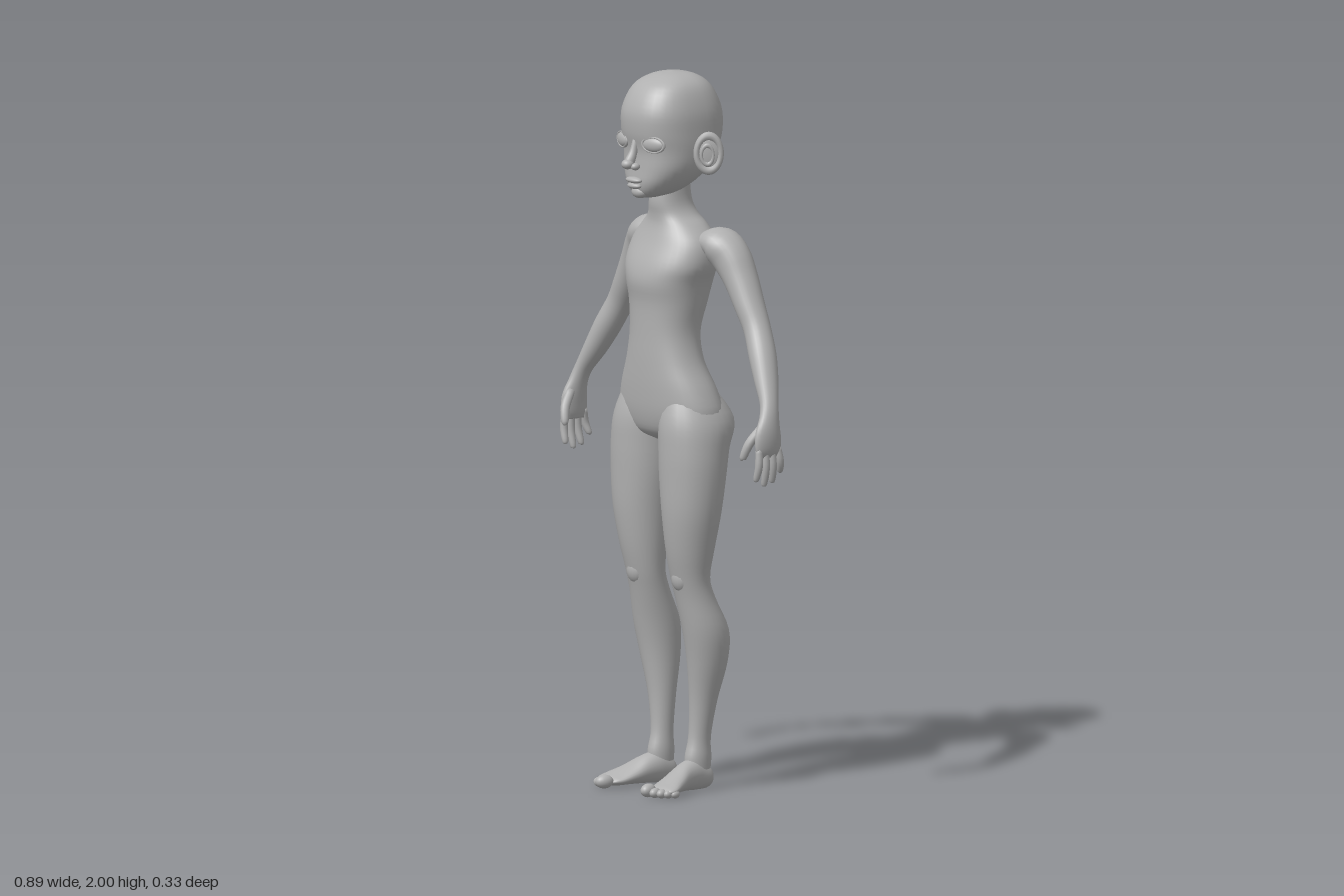
import * as THREE from 'three';

const DOWN = new THREE.Vector3(0, -1, 0);
const X = new THREE.Vector3(1, 0, 0);
const Z = new THREE.Vector3(0, 0, 1);

// Smooth skin through rows of [x, y, z, halfWidthB, halfWidthRef].
// ref is the axis of the last width; axis fixes the ring direction if given.
function loft(rows, { ref = Z, axis = null, sides = 28, steps = 4, power = 2 } = {}) {
  const path = new THREE.CatmullRomCurve3(rows.map(r => new THREE.Vector3(r[0], r[1], r[2])), false, 'catmullrom', 0.5);
  const size = new THREE.CatmullRomCurve3(rows.map(r => new THREE.Vector3(r[3], r[4], 0)), false, 'catmullrom', 0.5);
  const n = (rows.length - 1) * steps;
  const pos = [], index = [];
  const bend = v => Math.sign(v) * Math.abs(v) ** (2 / power);
  for (let i = 0; i <= n; i++) {
    const c = path.getPoint(i / n), w = size.getPoint(i / n);
    const t = axis || path.getTangent(i / n);
    const a = ref.clone().addScaledVector(t, -ref.dot(t)).normalize();
    const b = t.clone().cross(a);
    for (let j = 0; j < sides; j++) {
      const q = (j / sides) * Math.PI * 2;
      const p = c.clone().addScaledVector(a, bend(Math.cos(q)) * w.y).addScaledVector(b, bend(Math.sin(q)) * w.x);
      pos.push(p.x, p.y, p.z);
    }
  }
  for (let i = 0; i < n; i++) for (let j = 0; j < sides; j++) {
    const k = (j + 1) % sides, u = i * sides, v = u + sides;
    index.push(u + j, u + k, v + j, u + k, v + k, v + j);
  }
  // End caps
  const first = path.getPoint(0), last = path.getPoint(1), m = pos.length / 3;
  pos.push(first.x, first.y, first.z, last.x, last.y, last.z);
  for (let j = 0; j < sides; j++) {
    const k = (j + 1) % sides;
    index.push(m, k, j, m + 1, n * sides + j, n * sides + k);
  }
  const g = new THREE.BufferGeometry();
  g.setAttribute('position', new THREE.Float32BufferAttribute(pos, 3));
  g.setIndex(index);
  g.computeVertexNormals();
  return g;
}

// Rows of [y, frontZ, backZ, halfWidth] for upright forms on the centre line
const upright = rows => rows.map(([y, f, b, w]) => [0, y, (f + b) / 2, w, (f - b) / 2]);

export function createModel() {
  const model = new THREE.Group();
  model.name = 'mannequin';
  const grey = new THREE.MeshStandardMaterial({ color: 0xb0b0b0 });
  grey.name = 'plain grey';

  const add = (name, geometry, parent = model) => {
    const mesh = new THREE.Mesh(geometry, grey);
    mesh.name = name;
    parent.add(mesh);
    return mesh;
  };
  const blob = (name, x, y, z, sx, sy, sz, turn = 0) => {
    const mesh = add(name, new THREE.SphereGeometry(1, 20, 14));
    mesh.position.set(x, y, z);
    mesh.scale.set(sx, sy, sz);
    mesh.rotation.y = turn;
    return mesh;
  };

  // Head
  add('head', loft(upright([
    [2.0, -0.02, -0.03, 0.004], [1.99, 0.03, -0.085, 0.058], [1.96, 0.083, -0.128, 0.096],
    [1.9, 0.116, -0.16, 0.117], [1.84, 0.117, -0.164, 0.12], [1.79, 0.106, -0.148, 0.118],
    [1.74, 0.107, -0.118, 0.109], [1.7, 0.109, -0.08, 0.085], [1.67, 0.1, -0.03, 0.052],
    [1.656, 0.08, 0.01, 0.015],
  ]), { axis: DOWN, sides: 36, power: 2.4 }));

  // Face
  add('noseBridge', loft([
    [0, 1.825, 0.104, 0.008, 0.008], [0, 1.79, 0.112, 0.01, 0.012],
    [0, 1.765, 0.124, 0.013, 0.016], [0, 1.745, 0.128, 0.011, 0.012],
  ], { axis: DOWN, sides: 16 }));
  blob('noseTip', 0, 1.754, 0.133, 0.017, 0.014, 0.018);
  blob('upperLip', 0, 1.708, 0.111, 0.031, 0.009, 0.016);
  blob('lowerLip', 0, 1.692, 0.109, 0.026, 0.009, 0.015);
  blob('chin', 0, 1.673, 0.09, 0.027, 0.018, 0.02);

  // Neck and trunk
  add('torso', loft(upright([
    [1.72, 0.035, -0.07, 0.048], [1.645, 0.044, -0.08, 0.05], [1.605, 0.04, -0.095, 0.066],
    [1.575, 0.042, -0.112, 0.1], [1.53, 0.058, -0.128, 0.138], [1.47, 0.085, -0.13, 0.143],
    [1.42, 0.095, -0.125, 0.126], [1.36, 0.087, -0.108, 0.115], [1.28, 0.086, -0.085, 0.107],
    [1.2, 0.087, -0.088, 0.125], [1.12, 0.085, -0.114, 0.163], [1.05, 0.078, -0.13, 0.18],
    [1.0, 0.06, -0.11, 0.14], [0.975, 0.02, -0.06, 0.03],
  ]), { axis: DOWN, sides: 40, power: 2.2 }));

  for (const s of [1, -1]) {
    const side = s > 0 ? 'left' : 'right';
    const flip = rows => rows.map(([x, ...rest]) => [x * s, ...rest]);

    // Eye with a lid rim
    blob(side + 'Eye', s * 0.067, 1.812, 0.095, 0.035, 0.02, 0.012, s * 0.32);
    const lid = add(side + 'EyeLid', new THREE.TorusGeometry(0.035, 0.0045, 8, 32));
    lid.position.set(s * 0.067, 1.812, 0.097);
    lid.scale.set(1, 0.6, 1);
    lid.rotation.y = s * 0.32;
    blob(side + 'Nostril', s * 0.018, 1.748, 0.12, 0.011, 0.01, 0.014);

    // Ear: rim, shell and lobe
    const ear = new THREE.Group();
    ear.name = side + 'Ear';
    ear.position.set(s * 0.143, 1.785, -0.038);
    ear.rotation.y = s * 0.95;
    model.add(ear);
    const rim = add('earRim', new THREE.TorusGeometry(0.043, 0.011, 10, 32), ear);
    rim.scale.set(0.78, 1.12, 1);
    const shell = add('earShell', new THREE.SphereGeometry(1, 20, 12), ear);
    shell.scale.set(0.034, 0.048, 0.009);
    const fold = add('earFold', new THREE.TorusGeometry(0.022, 0.006, 8, 24), ear);
    fold.scale.set(0.75, 1.2, 1);
    fold.position.set(-s * 0.004, -0.004, 0.006);

    // Arm running into the palm
    add(side + 'Arm', loft(flip([
      [0.1, 1.535, -0.055, 0.025, 0.04], [0.15, 1.53, -0.07, 0.048, 0.06],
      [0.188, 1.495, -0.082, 0.054, 0.056], [0.225, 1.44, -0.086, 0.046, 0.05],
      [0.265, 1.37, -0.085, 0.04, 0.044], [0.3, 1.31, -0.083, 0.037, 0.039],
      [0.34, 1.24, -0.07, 0.036, 0.04], [0.375, 1.175, -0.055, 0.03, 0.035],
      [0.405, 1.12, -0.04, 0.022, 0.028], [0.418, 1.08, -0.03, 0.02, 0.031],
      [0.424, 1.035, -0.021, 0.019, 0.043], [0.425, 0.995, -0.021, 0.015, 0.043],
      [0.423, 0.975, -0.021, 0.008, 0.034],
    ])));

    // Fingers, index first, and thumb
    const digit = (name, from, mid, to, r) => add(name, loft(flip([
      [...from, r, r], [...mid, r * 1.05, r * 1.05], [...to, r * 0.8, r * 0.8],
      [to[0] - 0.001, to[1] - 0.007, to[2], 0.001, 0.001],
    ]), { sides: 12 }));
    [0.915, 0.9, 0.907, 0.932].forEach((tip, i) => {
      const z = 0.011 - i * 0.0215, end = 0.016 - i * 0.028;
      digit(side + 'Finger' + (i + 1), [0.424, 1.0, z], [0.427, (0.99 + tip) / 2, (z + end) / 2], [0.418, tip, end], 0.0105);
    });
    digit(side + 'Thumb', [0.416, 1.055, -0.002], [0.403, 1.015, 0.028], [0.39, 0.975, 0.04], 0.0125);

    // Leg
    add(side + 'Leg', loft(flip([
      [0.085, 1.13, -0.015, 0.06, 0.07], [0.098, 1.04, -0.031, 0.092, 0.111],
      [0.104, 0.96, -0.017, 0.095, 0.1], [0.106, 0.88, -0.011, 0.093, 0.092],
      [0.107, 0.78, -0.006, 0.083, 0.082], [0.102, 0.68, -0.005, 0.069, 0.067],
      [0.098, 0.6, -0.009, 0.058, 0.053], [0.1, 0.54, -0.026, 0.057, 0.055],
      [0.107, 0.45, -0.056, 0.062, 0.066], [0.103, 0.36, -0.065, 0.054, 0.058],
      [0.09, 0.25, -0.061, 0.038, 0.04], [0.082, 0.15, -0.055, 0.029, 0.033],
      [0.081, 0.09, -0.05, 0.031, 0.041], [0.081, 0.04, -0.05, 0.028, 0.036],
    ]), { axis: DOWN }));
    blob(side + 'Knee', s * 0.098, 0.6, 0.02, 0.034, 0.04, 0.027);

    // Foot and toes
    add(side + 'Foot', loft(flip([
      [0.08, 0.036, -0.097, 0.006, 0.006], [0.08, 0.037, -0.082, 0.031, 0.028],
      [0.081, 0.046, -0.04, 0.044, 0.034], [0.087, 0.043, 0.005, 0.039, 0.037],
      [0.1, 0.031, 0.05, 0.027, 0.045], [0.114, 0.021, 0.09, 0.018, 0.051],
      [0.117, 0.018, 0.112, 0.012, 0.044], [0.117, 0.016, 0.122, 0.004, 0.03],
    ]), { ref: X, axis: Z, sides: 24 }));
    [[0.096, 0.138, 0.019], [0.119, 0.132, 0.014], [0.136, 0.122, 0.013], [0.149, 0.109, 0.012], [0.159, 0.093, 0.011]]
      .forEach(([x, z, r], i) => blob(side + 'Toe' + (i + 1), s * x, r + 0.001, z, r * 0.95, r, r * 1.4, s * 0.25));
  }
  return model;
}
